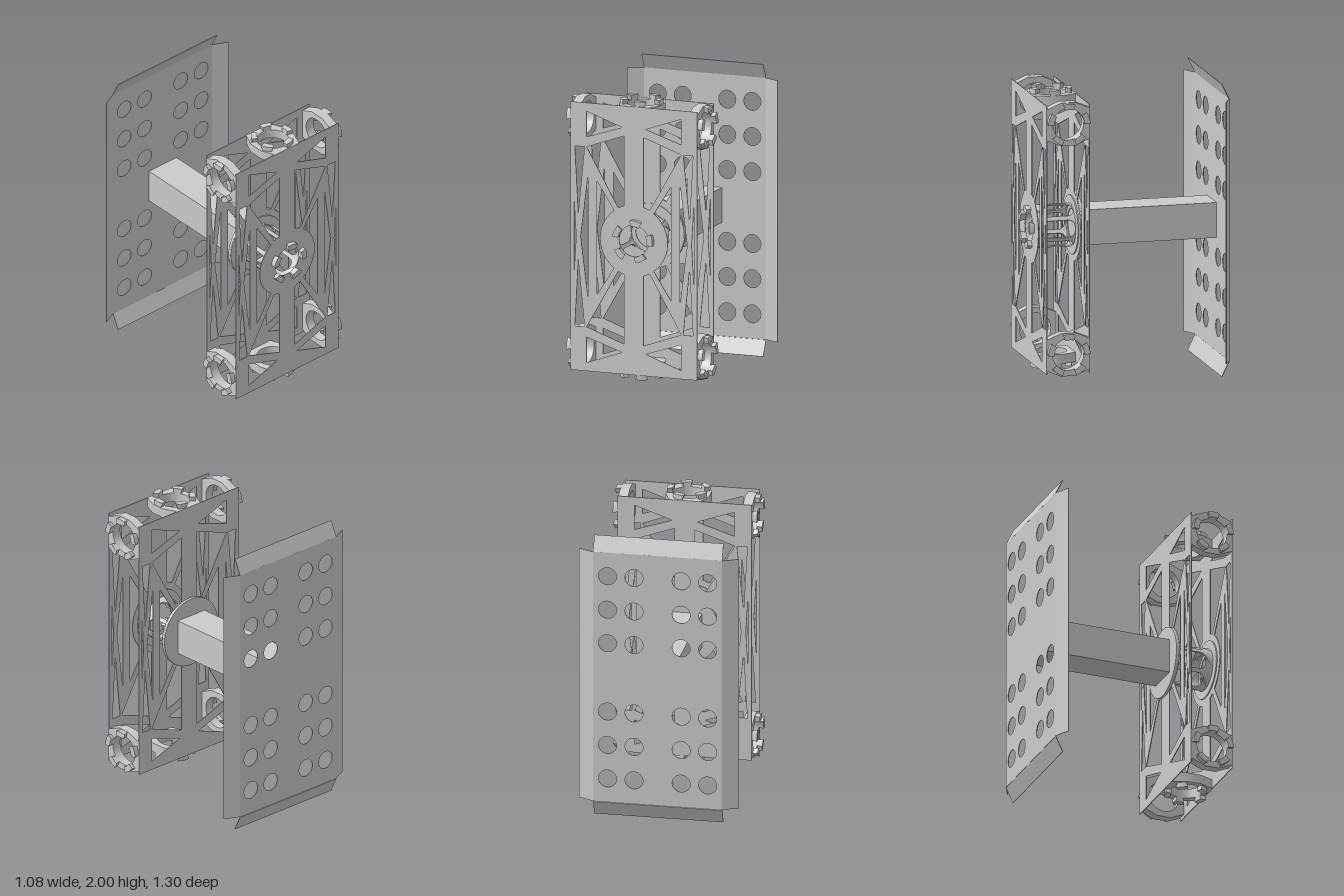
import * as THREE from 'three';
import { toCreasedNormals } from 'three/addons/utils/BufferGeometryUtils.js';

const material = new THREE.MeshStandardMaterial({ color: 0xcccccc, side: THREE.DoubleSide });
const MID_Y = 1.002, FRAME_Z = 0.467, HALF_W = 0.455, HALF_H = 0.915;
const SHEET = 0.006;

function addMesh(parent, name, geometry, x = 0, y = 0, z = 0) {
  const mesh = new THREE.Mesh(geometry, material);
  mesh.name = name;
  mesh.position.set(x, y, z);
  parent.add(mesh);
  return mesh;
}

const polygon = (pts, Type = THREE.Shape) => new Type(pts.map(([x, y]) => new THREE.Vector2(x, y)));
const rectangle = (w, h) => polygon([[-w, -h], [w, -h], [w, h], [-w, h]]);
const circle = (r, x = 0, y = 0) => new THREE.Path().absarc(x, y, r, 0, Math.PI * 2, true);

function extrude(shape, depth) {
  const g = new THREE.ExtrudeGeometry(shape, { depth, bevelEnabled: false, curveSegments: 24 });
  return toCreasedNormals(g, 0.5);
}

function disc(radius, hole, depth) {
  const shape = new THREE.Shape().absarc(0, 0, radius, 0, Math.PI * 2, false);
  if (hole) shape.holes.push(circle(hole));
  return extrude(shape, depth);
}

// Truss sheet: cut-outs mirrored about the centre lines
function trussGeometry(portRadius) {
  const shape = rectangle(HALF_W, HALF_H);
  const quarter = [
    [[0.34, 0.857], [0.085, 0.767], [0.34, 0.683]],
    [[0.34, 0.614], [0.07, 0.71], [0.07, 0.235], [0.114, 0.218]],
    [[0.425, 0.614], [0.355, 0.614], [0.4, 0.16]],
  ];
  const hubSide = [[0.267, 0.39]];
  for (let i = 0; i <= 12; i++) {
    const a = 0.942 * (1 - i / 6);
    hubSide.push([0.243 * Math.cos(a), 0.243 * Math.sin(a)]);
  }
  hubSide.push([0.267, -0.39]);
  const half = [
    hubSide,
    [[0.33, 0.42], [0.383, 0], [0.33, -0.42]],
    [[0.431, 0.27], [0.415, 0], [0.431, -0.27]],
  ];
  for (const sx of [-1, 1]) {
    for (const pts of half) shape.holes.push(polygon(pts.map(([x, y]) => [sx * x, y]), THREE.Path));
    for (const sy of [-1, 1])
      for (const pts of quarter)
        shape.holes.push(polygon(pts.map(([x, y]) => [sx * x, sy * y]), THREE.Path));
  }
  shape.holes.push(circle(portRadius));
  return extrude(shape, SHEET);
}

// Docking tooth: ring sector that widens towards its tip
function toothGeometry() {
  const a = 0.22;
  const shape = new THREE.Shape();
  shape.absarc(0, 0, 0.145, -a, a, false);
  shape.absarc(0, 0, 0.105, a, -a, true);
  const g = new THREE.ExtrudeGeometry(shape, { depth: 0.034, bevelEnabled: false, curveSegments: 5 });
  const p = g.attributes.position;
  for (let i = 0; i < p.count; i++) {
    if (p.getZ(i) < 0.01) continue;
    const r = Math.hypot(p.getX(i), p.getY(i));
    const t = Math.atan2(p.getY(i), p.getX(i)) * 1.35;
    p.setXY(i, r * Math.cos(t), r * Math.sin(t));
  }
  return toCreasedNormals(g, 0.5);
}

function addTeeth(parent, phaseDegrees, tooth) {
  for (let i = 0; i < 5; i++) {
    const mesh = addMesh(parent, 'dockingTooth', tooth);
    mesh.rotation.z = THREE.MathUtils.degToRad(phaseDegrees + i * 72);
  }
}

// Eight-sided collar with a round opening, facing local +z
function collarGeometry() {
  const shape = polygon([[0.147, -0.105], [0.147, 0.105], [0.05, 0.147], [-0.05, 0.147],
    [-0.147, 0.105], [-0.147, -0.105], [-0.05, -0.147], [0.05, -0.147]]);
  shape.holes.push(circle(0.107));
  return extrude(shape, 0.065).translate(0, 0, -0.065);
}

// One sixth of the hub wall, drawn flat with a rounded window, then bent round z
function hubWallGeometry(radius, length) {
  const w = Math.PI / 6, pts = [], N = 12;
  for (let i = 0; i <= N; i++) pts.push([-w + 2 * w * i / N, 0]);
  for (let i = N; i >= 0; i--) pts.push([-w + 2 * w * i / N, length]);
  const shape = polygon(pts);
  const hw = 0.42, r = 0.045, ra = 0.3, z0 = 0.015, z1 = 0.232, hole = [];
  const corners = [[hw - ra, z1 - r], [-hw + ra, z1 - r], [-hw + ra, z0 + r], [hw - ra, z0 + r]];
  corners.forEach(([cx, cz], k) => {
    for (let i = 0; i <= 6; i++) {
      const t = (k + i / 6) * Math.PI / 2;
      hole.push([cx + ra * Math.cos(t), cz + r * Math.sin(t)]);
    }
  });
  shape.holes.push(polygon(hole, THREE.Path));
  const g = new THREE.ExtrudeGeometry(shape, { depth: 0.01, bevelEnabled: false });
  const p = g.attributes.position;
  for (let i = 0; i < p.count; i++) {
    const a = p.getX(i), z = p.getY(i), rad = radius - 0.01 + p.getZ(i);
    p.setXYZ(i, rad * Math.cos(a), rad * Math.sin(a), z);
  }
  return toCreasedNormals(g, 0.5);
}

export function createModel() {
  const model = new THREE.Group();
  model.name = 'dockingTrussModule';
  const tooth = toothGeometry();

  // Front and rear truss sheets with stiffening rings inside
  const truss = trussGeometry(0.106);
  const stiffener = disc(0.2, 0.14, 0.008);
  addMesh(model, 'frontTruss', truss, 0, MID_Y, 0.61);
  addMesh(model, 'rearTruss', truss, 0, MID_Y, 0.317);
  addMesh(model, 'frontStiffener', stiffener, 0, MID_Y, 0.602);
  addMesh(model, 'rearStiffener', stiffener, 0, MID_Y, 0.323);

  // Central hub with six windows and a toothed front port
  const hub = new THREE.Group();
  hub.name = 'hub';
  hub.position.set(0, MID_Y, 0.32);
  const wall = hubWallGeometry(0.146, 0.292);
  for (let i = 0; i < 6; i++) addMesh(hub, 'hubWall', wall).rotation.z = i * Math.PI / 3;
  model.add(hub);
  const frontPort = new THREE.Group();
  frontPort.name = 'frontPort';
  frontPort.position.set(0, MID_Y, 0.616);
  addTeeth(frontPort, 80, tooth);
  model.add(frontPort);

  // Ports on the top, the bottom and both ends of each side
  const collar = collarGeometry();
  function addPort(name, x, y, rotation, phase) {
    const port = new THREE.Group();
    port.name = name;
    port.position.set(x, y, FRAME_Z);
    port.rotation.set(...rotation);
    addMesh(port, 'collar', collar);
    addTeeth(port, phase, tooth);
    model.add(port);
  }
  const q = Math.PI / 2;
  addPort('topPort', 0, MID_Y + HALF_H, [-q, 0, q], -20);
  addPort('bottomPort', 0, MID_Y - HALF_H, [q, 0, q], -20);
  for (const s of [-1, 1])
    for (const t of [-1, 1])
      addPort(s > 0 ? 'leftPort' : 'rightPort', s * HALF_W, MID_Y + t * 0.785, [0, s * q, 0], 90);

  // Square boom and its mounting disc
  addMesh(model, 'mountingDisc', disc(0.243, 0, 0.018), 0, MID_Y, 0.298);
  addMesh(model, 'boom', new THREE.BoxGeometry(0.243, 0.24, 0.948), 0, MID_Y, -0.174);

  // Perforated back panel
  const panel = rectangle(0.438, 0.894);
  for (const x of [-0.34, -0.16, 0.16, 0.34])
    for (const y of [0.245, 0.485, 0.725])
      for (const s of [-1, 1]) panel.holes.push(circle(0.061, x, s * y));
  addMesh(model, 'backPanel', extrude(panel, 0.005), 0, MID_Y, -0.651);

  // Bent flanges round the panel
  const tilt = Math.atan2(0.05, 0.104), width = Math.hypot(0.05, 0.104);
  for (const s of [-1, 1]) {
    const end = addMesh(model, s > 0 ? 'topFlange' : 'bottomFlange',
      new THREE.BoxGeometry(0.876, width, 0.005), 0, 1 + s * 0.946, -0.624);
    end.rotation.x = s * tilt;
    const side = addMesh(model, s > 0 ? 'leftFlange' : 'rightFlange',
      new THREE.BoxGeometry(width, 1.785, 0.005), s * 0.489, MID_Y, -0.624);
    side.rotation.y = -s * tilt;
  }
  return model;
}
